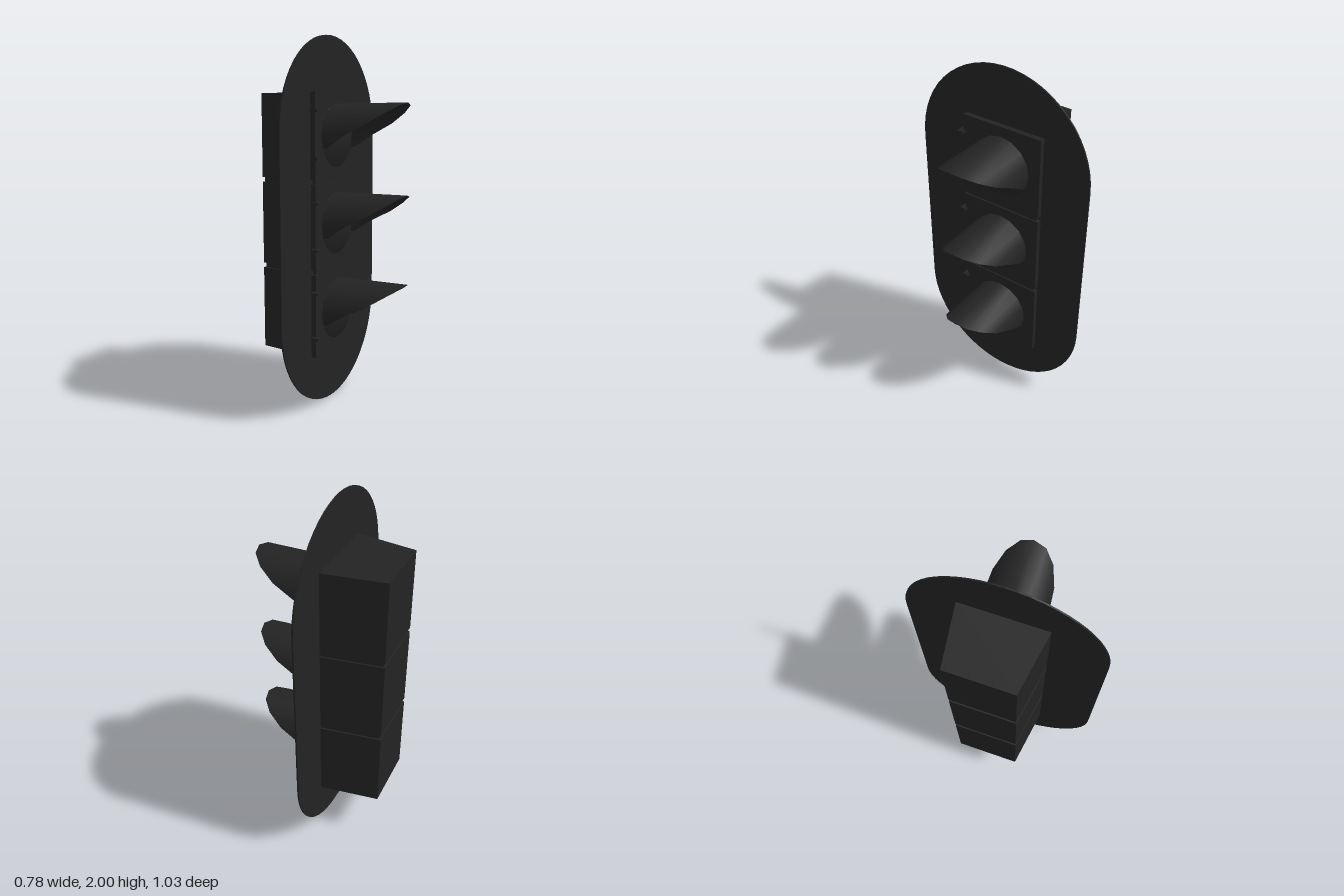
import * as THREE from 'three';

const CZ = -0.012; // sideways centre line of the signal heads
const black = new THREE.MeshStandardMaterial({ color: 0x232323 });
black.name = 'matte black';
const blackSheet = new THREE.MeshStandardMaterial({ color: 0x232323, side: THREE.DoubleSide });
blackSheet.name = 'matte black sheet';

function add(parent, name, geometry, x, y, z, material = black) {
  const mesh = new THREE.Mesh(geometry, material);
  mesh.name = name;
  mesh.position.set(x, y, z);
  parent.add(mesh);
  return mesh;
}

// Box from x0 to x1 whose half width narrows towards the back (-x)
function taperedBox(x0, x1, height, backHalf, frontHalf) {
  const g = new THREE.BoxGeometry(x1 - x0, height, 2);
  g.translate((x0 + x1) / 2, 0, 0);
  const p = g.attributes.position;
  for (let i = 0; i < p.count; i++) {
    p.setZ(i, Math.sign(p.getZ(i)) * (p.getX(i) < (x0 + x1) / 2 ? backHalf : frontHalf));
  }
  g.computeVertexNormals();
  return g;
}

// Open hood: an arc of a tube with its front edge cut back towards the bottom
function visorGeometry(radius) {
  const reach = [0, 0.1, 0.23, 0.32, 0.375, 0.39, 0.375, 0.32, 0.23, 0.1, 0];
  const g = new THREE.PlaneGeometry(1, 1, reach.length - 1, 1);
  const p = g.attributes.position;
  for (let i = 0; i < p.count; i++) {
    const k = i % reach.length;
    const a = (k - 1) * Math.PI / 8;
    p.setXYZ(i, i < reach.length ? reach[k] : -0.03, radius * Math.sin(a), radius * Math.cos(a));
  }
  g.computeVertexNormals();
  return g;
}

// Shallow convex lens pointing along +x
function lensGeometry(radius, depth) {
  const profile = [];
  for (let i = 0; i <= 8; i++) {
    const r = radius * i / 8;
    profile.push(new THREE.Vector2(r, depth * (1 - (r / radius) ** 2)));
  }
  return new THREE.LatheGeometry(profile.reverse(), 32).rotateZ(-Math.PI / 2);
}

// Upright stadium-shaped sheet
function backplateGeometry() {
  const s = new THREE.Shape();
  const r = 0.517, thick = 0.008;
  s.absarc(0, 2 - r, r, 0, Math.PI, false);
  s.absarc(0, r, r, Math.PI, Math.PI * 2, false);
  const g = new THREE.ExtrudeGeometry(s, { depth: thick, bevelEnabled: false, curveSegments: 14 });
  return g.translate(0, 0, -thick / 2).rotateY(Math.PI / 2);
}

export function createModel() {
  const model = new THREE.Group();
  model.name = 'trafficSignal';
  add(model, 'backplate', backplateGeometry(), -0.057, 0, 0);

  const housing = taperedBox(-0.393, -0.05, 0.453, 0.18, 0.232);
  const door = new THREE.BoxGeometry(0.03, 0.453, 0.474);
  const lens = lensGeometry(0.172, 0.05);
  const visor = visorGeometry(0.172);
  const latch = new THREE.BoxGeometry(0.042, 0.015, 0.034);
  const joint = taperedBox(-0.383, -0.033, 0.03, 0.172, 0.224);

  // Three stacked signal heads
  for (let i = 0; i < 3; i++) {
    const head = new THREE.Group();
    head.name = ['lowerHead', 'middleHead', 'upperHead'][i];
    head.position.set(0, 0.512 + i * 0.479, CZ);
    model.add(head);
    add(head, 'housing', housing, 0, 0, 0);
    add(head, 'door', door, -0.04, 0, 0);
    add(head, 'lens', lens, -0.026, 0, 0);
    add(head, 'visor', visor, 0, 0, 0, blackSheet);
    for (const y of [-0.118, 0.13]) add(head, 'latch', latch, -0.023, y, 0.241);
    // Recessed collar between neighbouring heads
    if (i < 2) add(head, 'joint', joint, 0, 0.2395, 0);
  }
  return model;
}
